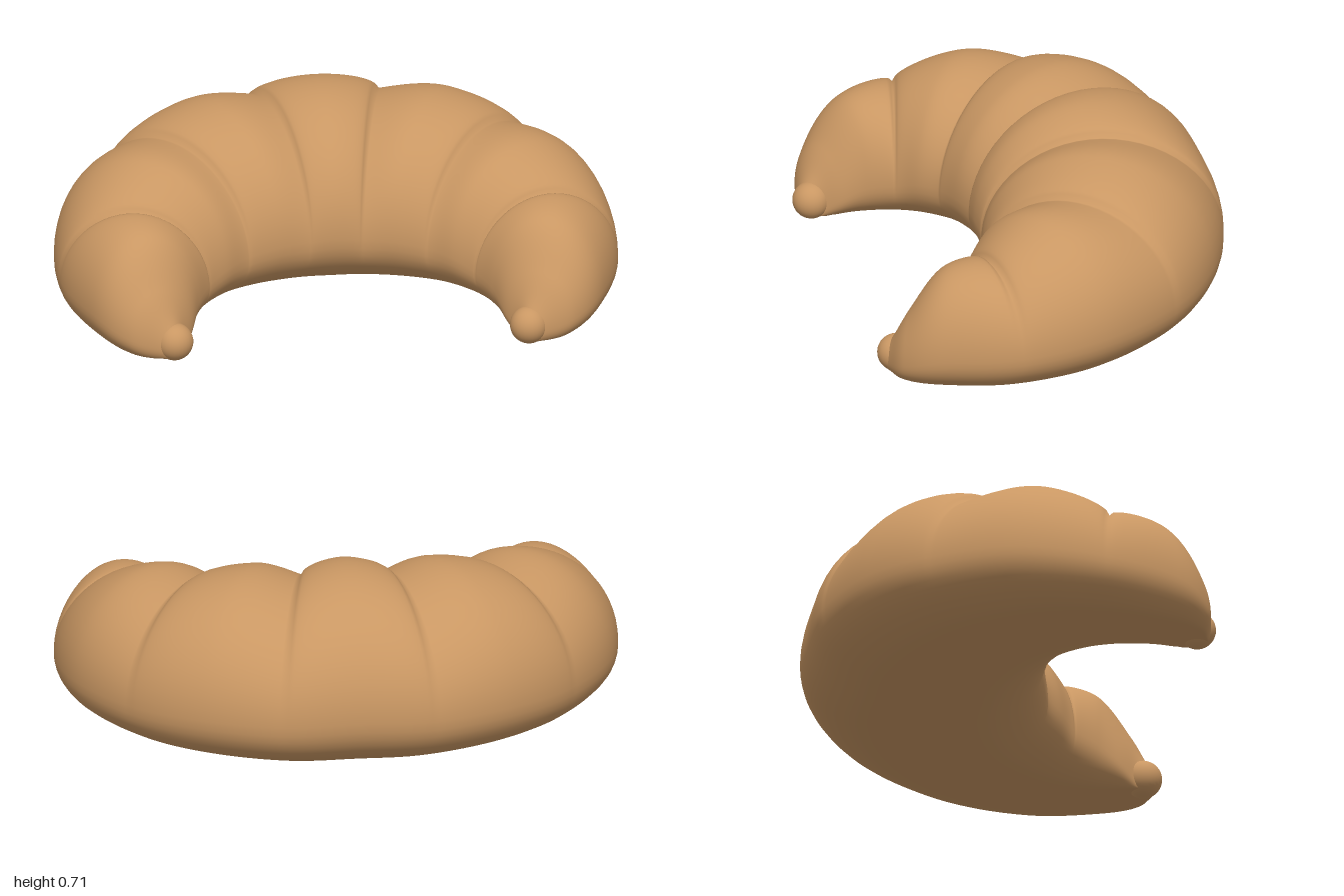
import * as THREE from 'three';

// Stations from the middle to one tip: inner x, inner z, outer x, outer z, base height
const HALF = [
  [0.03, 0.03, -0.63, -0.63, 0.67],
  [0.10, -0.04, -0.41, -0.83, 0.645],
  [0.20, -0.11, -0.10, -0.97, 0.635],
  [0.31, -0.17, 0.22, -1.00, 0.585],
  [0.42, -0.19, 0.57, -0.91, 0.545],
  [0.52, -0.20, 0.84, -0.69, 0.455],
  [0.63, -0.17, 0.98, -0.42, 0.39],
  [0.72, -0.13, 0.99, -0.24, 0.25],
  [0.79, -0.11, 0.91, -0.11, 0.14],
];
// Station numbers at which one roll of dough ends and the next begins
const SEAMS = [1, 3, 5, 8];

// Swelling of a roll: gentle rise from the middle side, abrupt drop at the tip side
function swell(d) {
  const k = SEAMS.findIndex((s) => d <= s);
  if (k === 0) return Math.sqrt(Math.max(0, 1 - d ** 4));
  if (k < 0) return 0;
  const v = (d - SEAMS[k - 1]) / (SEAMS[k] - SEAMS[k - 1]);
  if (k === 3) return Math.sin(Math.PI * Math.sqrt(v));
  return v < 0.5 ? Math.sin(Math.PI * v) : Math.sqrt(Math.max(0, 1 - (2 * v - 1) ** 4));
}

function createBody() {
  // The second half mirrors the first across the line x = z
  const mirrored = HALF.slice(1).reverse().map(([a, b, c, d, h]) => [b, a, d, c, h]);
  const stations = [...mirrored, ...HALF];
  const inner = new THREE.CatmullRomCurve3(stations.map((s) => new THREE.Vector3(s[0], s[4], s[1])), false, 'catmullrom', 0.5);
  const outer = new THREE.CatmullRomCurve3(stations.map((s) => new THREE.Vector3(s[2], s[4], s[3])), false, 'catmullrom', 0.5);

  const rows = 288, sides = 56;
  const pos = [], index = [];
  for (let i = 0; i <= rows; i++) {
    const p = inner.getPoint(i / rows), q = outer.getPoint(i / rows);
    const b = swell(Math.abs((i / rows) * 16 - 8));
    const waist = 0.39 * p.y;
    const top = p.y + 0.045 * b;
    for (let j = 0; j < sides; j++) {
      const a = (j / sides) * Math.PI * 2;
      const c = Math.cos(a), s = Math.sin(a);
      // Domed above the waist, fuller with a flat base below it
      const y = s >= 0 ? waist + (top - waist) * s
        : Math.max(0.016, waist - waist * 1.06 * Math.pow(-s, 0.9));
      const pinch = 1 - 0.035 * (1 - b) * Math.max(0, s + 0.3) * (c < 0 ? 1.5 : 0.7);
      const w = 0.5 + 0.5 * c * pinch;
      pos.push(p.x + (q.x - p.x) * w, y, p.z + (q.z - p.z) * w);
      if (i < rows) {
        const n = (j + 1) % sides, r = i * sides;
        index.push(r + j, r + n, r + sides + j, r + n, r + sides + n, r + sides + j);
      }
    }
  }
  const geo = new THREE.BufferGeometry();
  geo.setAttribute('position', new THREE.Float32BufferAttribute(pos, 3));
  geo.setIndex(index);
  geo.computeVertexNormals();
  return geo;
}

export function createModel() {
  const group = new THREE.Group();
  group.name = 'croissant';
  const crust = new THREE.MeshStandardMaterial({ color: 0xc99763 });
  crust.name = 'golden crust';

  const body = new THREE.Mesh(createBody(), crust);
  body.name = 'rolledBody';
  group.add(body);

  // Small rounded ends closing both tips
  for (const [name, x, z] of [['leftTip', 0.85, -0.12], ['rightTip', -0.12, 0.85]]) {
    const tip = new THREE.Mesh(new THREE.SphereGeometry(0.073, 28, 20), crust);
    tip.name = name;
    tip.position.set(x, 0.073, z);
    group.add(tip);
  }
  return group;
}
